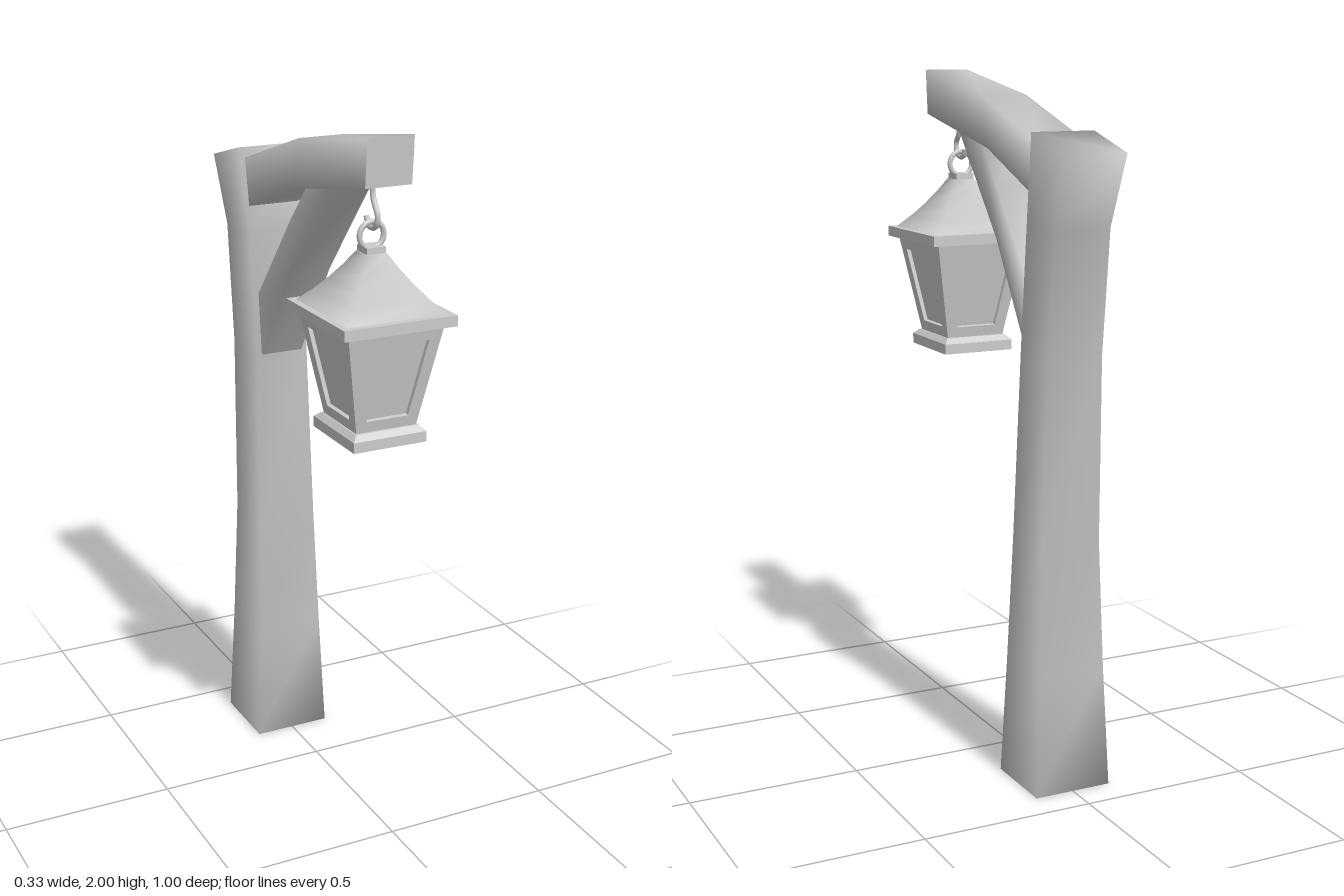
import * as THREE from 'three';

const material = new THREE.MeshStandardMaterial({ color: 0xcccccc });

// Four-sided loft. Each section is [[z, y] of edge a, [z, y] of edge b, half width in x].
// shade: 'soft' shares all normals, 'capped' has crisp ends, 'flat' has crisp edges.
function loft(sections, shade) {
  const pos = [], index = [];
  const addRing = ([a, b, w]) => pos.push(
    w, a[1], a[0], w, b[1], b[0], -w, b[1], b[0], -w, a[1], a[0]);
  sections.forEach(addRing);
  for (let i = 0; i < sections.length - 1; i++) {
    for (let k = 0; k < 4; k++) {
      const p = i * 4 + k, q = i * 4 + (k + 1) % 4;
      index.push(p, q, q + 4, p, q + 4, p + 4);
    }
  }
  let first = 0, last = (sections.length - 1) * 4;
  if (shade === 'capped') {
    first = sections.length * 4;
    last = first + 4;
    addRing(sections[0]);
    addRing(sections[sections.length - 1]);
  }
  index.push(first, first + 2, first + 1, first, first + 3, first + 2);
  index.push(last, last + 1, last + 2, last, last + 2, last + 3);
  let geometry = new THREE.BufferGeometry();
  geometry.setAttribute('position', new THREE.Float32BufferAttribute(pos, 3));
  geometry.setIndex(index);
  if (shade === 'flat') geometry = geometry.toNonIndexed();
  geometry.computeVertexNormals();
  return geometry;
}

// Upright rectangular stack around the lantern axis from [y, half x, half z] levels
const stack = (levels, shade) => loft(levels.map(([y, hx, hz]) => [[hz, y], [-hz, y], hx]), shade);

function add(parent, name, geometry) {
  const mesh = new THREE.Mesh(geometry, material);
  mesh.name = name;
  parent.add(mesh);
  return mesh;
}

const tube = (points, radius) => new THREE.TubeGeometry(
  new THREE.CatmullRomCurve3(points.map(([z, y]) => new THREE.Vector3(0, y, z))), 40, radius, 8);

// Tapered window frame, drawn with its bottom edge on y = 0
function frameGeometry(bottom, top, height, depth) {
  const shape = new THREE.Shape([
    new THREE.Vector2(-bottom, 0), new THREE.Vector2(bottom, 0),
    new THREE.Vector2(top, height), new THREE.Vector2(-top, height)]);
  shape.holes.push(new THREE.Path([
    new THREE.Vector2(-bottom * 0.69, 0.037), new THREE.Vector2(-top * 0.71, height - 0.037),
    new THREE.Vector2(top * 0.71, height - 0.037), new THREE.Vector2(bottom * 0.69, 0.037)]));
  const geometry = new THREE.ExtrudeGeometry(shape, { depth, bevelEnabled: false });
  geometry.translate(0, 0, -depth);
  return geometry;
}

function createLantern() {
  const lantern = new THREE.Group();
  lantern.name = 'lantern';
  add(lantern, 'lanternBase', stack([[1.17, 0.11, 0.122], [1.2, 0.11, 0.122],
    [1.215, 0.095, 0.104]], 'flat'));

  // Recessed panes behind four leaning frames
  const y0 = 1.21, y1 = 1.5, low = [0.09, 0.096], high = [0.142, 0.148], inset = 0.012;
  add(lantern, 'lanternPanes', stack([[y0, low[0] - inset, low[1] - inset],
    [y1, high[0] - inset, high[1] - inset]], 'flat'));
  for (let i = 0; i < 4; i++) {
    const across = i % 2, out = 1 - across;
    const lean = Math.atan2(high[out] - low[out], y1 - y0);
    const side = new THREE.Group();
    side.name = 'lanternSide';
    side.rotation.y = i * Math.PI / 2;
    const frame = add(side, 'windowFrame',
      frameGeometry(low[across], high[across], (y1 - y0) / Math.cos(lean), 0.014));
    frame.position.set(0, y0, low[out]);
    frame.rotation.x = lean;
    lantern.add(side);
  }

  // Eaves, curved roof and finial
  add(lantern, 'eaves', stack([[1.5, 0.167, 0.173], [1.53, 0.167, 0.173]], 'flat'));
  add(lantern, 'roof', stack([[1.53, 0.147, 0.153], [1.565, 0.113, 0.118], [1.6, 0.084, 0.087],
    [1.64, 0.055, 0.057], [1.68, 0.03, 0.031]], 'capped'));
  add(lantern, 'finial', stack([[1.675, 0.028, 0.028], [1.697, 0.028, 0.028]], 'flat'));
  const ring = add(lantern, 'hangingRing', new THREE.TorusGeometry(0.036, 0.008, 8, 28));
  ring.position.y = 1.725;
  lantern.position.z = 0.33;
  return lantern;
}

export function createModel() {
  const model = new THREE.Group();
  model.name = 'lanternPost';

  // Leaning post with a flared head
  add(model, 'post', loft([
    [[-0.175, 0], [-0.405, 0], 0.116],
    [[-0.19, 0.35], [-0.39, 0.35], 0.102],
    [[-0.205, 0.72], [-0.38, 0.72], 0.09],
    [[-0.235, 1.25], [-0.4, 1.25], 0.082],
    [[-0.272, 1.61], [-0.436, 1.6], 0.083],
    [[-0.32, 1.85], [-0.5, 1.8], 0.095]], 'soft'));

  // Bent arm, from post to tip
  add(model, 'arm', loft([
    [[-0.31, 1.675], [-0.345, 1.81], 0.077],
    [[0.0, 1.79], [0.035, 1.935], 0.07],
    [[0.42, 1.87], [0.43, 2], 0.068]], 'capped'));

  // Diagonal brace, from post to arm
  add(model, 'brace', loft([
    [[-0.27, 1.19], [-0.3, 1.37], 0.066],
    [[-0.04, 1.54], [-0.045, 1.685], 0.062],
    [[0.22, 1.84], [0.075, 1.82], 0.06]], 'capped'));

  // S-shaped hook through the lantern ring
  add(model, 'hook', tube([[0.335, 1.89], [0.334, 1.835], [0.345, 1.81], [0.362, 1.785],
    [0.358, 1.758], [0.335, 1.745], [0.31, 1.75], [0.3, 1.77]], 0.008));

  model.add(createLantern());
  return model;
}
